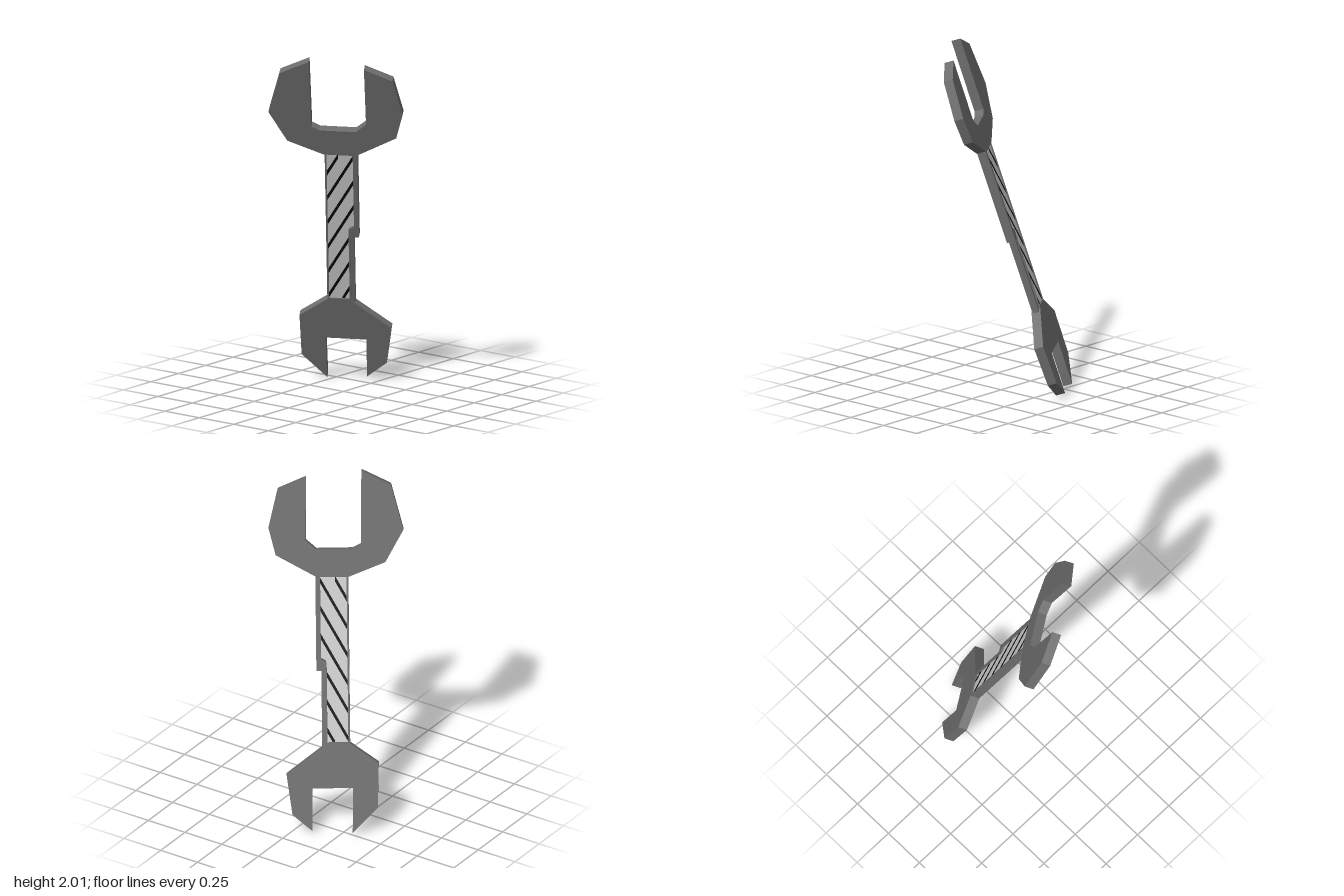
import * as THREE from 'three';

const dark = new THREE.MeshStandardMaterial({ color: 0x6c6c6c, flatShading: true });
const grey = new THREE.MeshStandardMaterial({ color: 0xcccccc, flatShading: true });
const black = new THREE.MeshStandardMaterial({ color: 0x080808, flatShading: true });

const toVectors = (points) => points.map(([x, y]) => new THREE.Vector2(x, y));

// Flat plate of the given thickness, centred on the wrench's middle plane
function plate(name, points, thickness, material, hole) {
  const shape = new THREE.Shape(toVectors(points));
  if (hole) shape.holes.push(new THREE.Path(toVectors(hole)));
  const geometry = new THREE.ExtrudeGeometry(shape, { depth: thickness, bevelEnabled: false });
  geometry.translate(0, 0, -thickness / 2);
  const mesh = new THREE.Mesh(geometry, material);
  mesh.name = name;
  return mesh;
}

export function createModel() {
  const wrench = new THREE.Group();
  wrench.name = 'wrench';

  // Large open jaw at the top
  wrench.add(plate('largeJaw', [
    [-0.095, 0.436], [0.089, 0.434], [0.321, 0.563], [0.36, 0.72], [0.306, 0.943], [0.144, 1.012],
    [0.15, 0.647], [0.09, 0.594], [-0.117, 0.596], [-0.163, 0.62], [-0.171, 1.05],
    [-0.338, 0.968], [-0.406, 0.705], [-0.302, 0.519],
  ], 0.054, dark));

  // Small open jaw at the bottom
  wrench.add(plate('smallJaw', [
    [0.03, -0.523], [-0.081, -0.523], [-0.251, -0.644], [-0.243, -0.904], [-0.099, -1.05],
    [-0.104, -0.787], [0.128, -0.79], [0.129, -1.036], [0.242, -0.941], [0.273, -0.708],
  ], 0.054, dark));

  // Handle frame, stepped in on one side
  wrench.add(plate('handleFrame', [
    [-0.09, -0.56], [0.047, -0.56], [0.047, -0.11], [0.097, -0.11], [0.097, 0.45], [-0.09, 0.45],
  ], 0.052, dark, [
    [-0.08, -0.55], [0.038, -0.55], [0.038, -0.06], [0.07, -0.04], [0.07, 0.44], [-0.08, 0.44],
  ]));

  // Thinner ledge beside the lower handle
  wrench.add(plate('handleLedge', [[0.04, -0.6], [0.069, -0.6], [0.069, -0.1], [0.04, -0.1]], 0.036, dark));

  // Recessed grip panel
  wrench.add(plate('gripPanel', [
    [-0.085, -0.555], [0.042, -0.555], [0.042, -0.05], [0.075, -0.03], [0.075, 0.445], [-0.085, 0.445],
  ], 0.038, grey));

  // Diagonal stripes, showing on both faces of the panel
  const slope = 1.8, half = 0.016;
  for (let i = 0; i < 7; i++) {
    const mid = 0.45 - i * 0.162;
    const start = Math.max(-0.082, (-0.53 - mid) / slope);
    const side = mid + slope * 0.05 < -0.06 ? 0.041 : 0.073;
    const end = Math.min(side, (0.425 - mid) / slope);
    const a = mid + slope * start, b = mid + slope * end;
    wrench.add(plate('gripStripe', [
      [start, a - half], [end, b - half], [end, b + half], [start, a + half],
    ], 0.041, black));
  }

  // Lean the whole wrench: local x runs across the jaws, local y along the handle
  const along = new THREE.Vector3(-0.252, 0.95, 0.18).normalize();
  const normal = new THREE.Vector3(0.54, -0.016, 0.842).cross(along).normalize();
  const across = along.clone().cross(normal);
  wrench.quaternion.setFromRotationMatrix(new THREE.Matrix4().makeBasis(across, along, normal));
  wrench.position.set(0.025, 1, -0.03);

  const model = new THREE.Group();
  model.name = 'model';
  model.add(wrench);
  return model;
}
